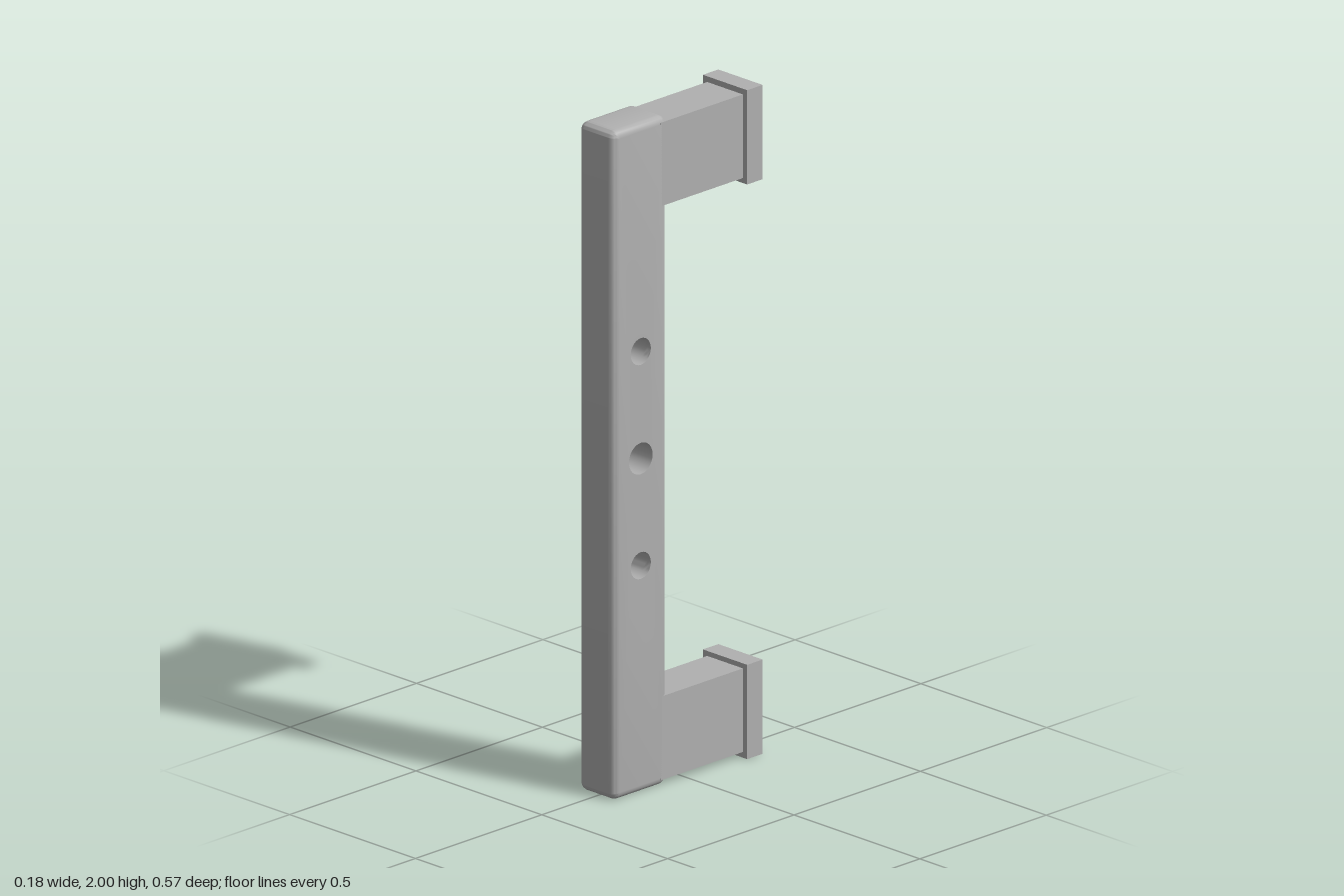
import * as THREE from 'three';
import { toCreasedNormals } from 'three/addons/utils/BufferGeometryUtils.js';

const HALF_WIDTH = 0.071;
const GRIP = { z0: 0.072, z1: 0.286, y0: 0, y1: 2, round: 0.025, bevel: 0.023 };
const HOLES = [[0.68, 0.04], [1.0, 0.047], [1.32, 0.04]]; // height, radius

// Rounded upright bar with three straight holes bored from side to side
function gripGeometry() {
  const { z0, z1, y0, y1, round: r, bevel } = GRIP;
  const zMid = (z0 + z1) / 2;
  const shape = new THREE.Shape();
  shape.moveTo(z0 + r, y0);
  shape.absarc(z1 - r, y0 + r, r, -Math.PI / 2, 0);
  shape.absarc(z1 - r, y1 - r, r, 0, Math.PI / 2);
  shape.absarc(z0 + r, y1 - r, r, Math.PI / 2, Math.PI);
  shape.absarc(z0 + r, y0 + r, r, Math.PI, Math.PI * 1.5);
  for (const [y, radius] of HOLES) {
    shape.holes.push(new THREE.Path().absarc(zMid, y, radius, 0, Math.PI * 2, true));
  }
  const depth = 2 * (HALF_WIDTH - bevel);
  const geo = new THREE.ExtrudeGeometry(shape, {
    depth, curveSegments: 12,
    bevelThickness: bevel, bevelSize: bevel, bevelOffset: -bevel, bevelSegments: 4,
  });
  // Keep the bores cylindrical: only the outer edges are rounded
  const p = geo.attributes.position;
  for (let i = 0; i < p.count; i++) {
    for (const [y, radius] of HOLES) {
      const dx = p.getX(i) - zMid, dy = p.getY(i) - y;
      const d = Math.hypot(dx, dy);
      if (d < 0.075) p.setXY(i, zMid + dx * radius / d, y + dy * radius / d);
    }
  }
  geo.translate(0, 0, -depth / 2);
  geo.rotateY(-Math.PI / 2);
  return toCreasedNormals(geo, 0.6);
}

export function createModel() {
  const metal = new THREE.MeshStandardMaterial({ color: 0xb0b0b0 });
  metal.name = 'grey metal';
  const group = new THREE.Group();
  group.name = 'pullHandle';

  const add = (name, geo) => {
    const mesh = new THREE.Mesh(geo, metal);
    mesh.name = name;
    group.add(mesh);
  };
  const box = (halfX, y0, y1, z0, z1) =>
    new THREE.BoxGeometry(2 * halfX, y1 - y0, z1 - z0)
      .translate(0, (y0 + y1) / 2, (z0 + z1) / 2);

  add('gripBar', gripGeometry());

  // Mounting arms and their end plates, bottom and top
  add('lowerArm', box(HALF_WIDTH, 0.017, 0.267, -0.23, 0.1));
  add('upperArm', box(HALF_WIDTH, 1.733, 1.983, -0.23, 0.1));
  add('lowerMountingPlate', box(0.088, 0, 0.282, -0.286, -0.225));
  add('upperMountingPlate', box(0.088, 1.718, 2, -0.286, -0.225));

  return group;
}
